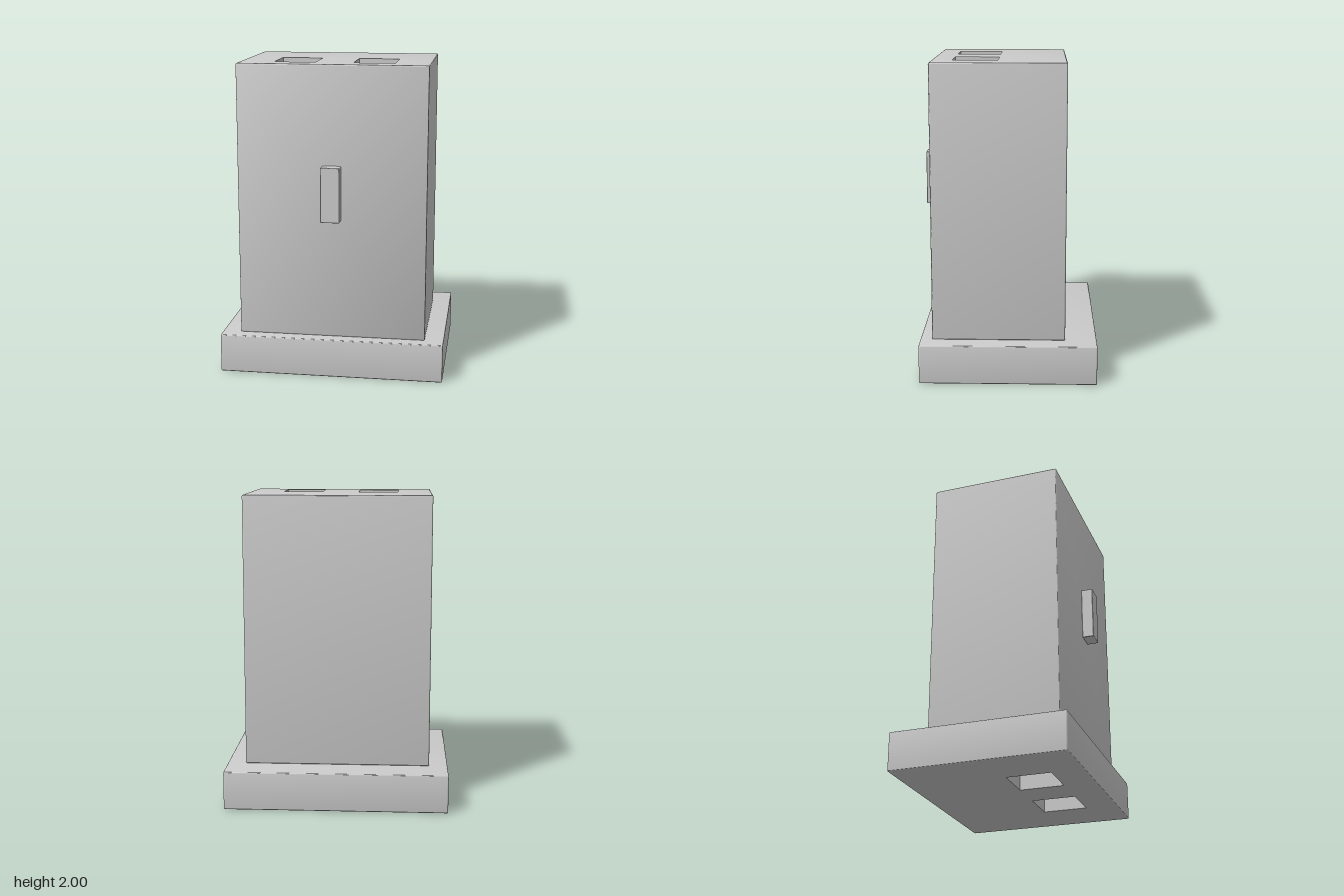
import * as THREE from 'three';
import { toCreasedNormals } from 'three/addons/utils/BufferGeometryUtils.js';
import { RoundedBoxGeometry } from 'three/addons/geometries/RoundedBoxGeometry.js';

const EDGE = 0.008; // small rounding on outer edges
const HOLE = { x0: 0.12, x1: 0.38, z0: 0.07, z1: 0.355 }; // mirrored in x
const material = new THREE.MeshStandardMaterial({ color: 0xcccccc });

// Rectangle with rounded corners in plan; shape y is -z
function planOutline(halfWidth, zBack, zFront) {
  const x = halfWidth - EDGE, top = -zBack - EDGE, bottom = -zFront + EDGE;
  const shape = new THREE.Shape();
  shape.absarc(x, top, EDGE, 0, Math.PI / 2);
  shape.absarc(-x, top, EDGE, Math.PI / 2, Math.PI);
  shape.absarc(-x, bottom, EDGE, Math.PI, Math.PI * 1.5);
  shape.absarc(x, bottom, EDGE, Math.PI * 1.5, Math.PI * 2);
  shape.closePath();
  return shape;
}

// Upright block with rounded outer edges and two sharp-edged square channels
function channelBlock(name, halfWidth, zBack, zFront, y0, y1) {
  const shape = planOutline(halfWidth, zBack, zFront);
  for (const side of [-1, 1]) {
    const a = side * HOLE.x0, b = side * HOLE.x1;
    shape.holes.push(new THREE.Path([
      [a, -HOLE.z0], [b, -HOLE.z0], [b, -HOLE.z1], [a, -HOLE.z1],
    ].map(([x, y]) => new THREE.Vector2(x, y))));
  }
  const geometry = new THREE.ExtrudeGeometry(shape, {
    depth: y1 - y0 - 2 * EDGE, curveSegments: 3, bevelSegments: 3,
    bevelSize: EDGE * 0.9, bevelOffset: -EDGE * 0.9, bevelThickness: EDGE,
  });
  geometry.rotateX(-Math.PI / 2).translate(0, y0 + EDGE, 0);

  // Pull the bevelled channel rims back to straight walls
  const p = geometry.attributes.position;
  for (let i = 0; i < p.count; i++) {
    const x = p.getX(i), z = p.getZ(i);
    if (Math.abs(x) > HOLE.x1 + 0.05 || z < HOLE.z0 - 0.05 || z > HOLE.z1 + 0.05) continue;
    p.setX(i, Math.sign(x) * THREE.MathUtils.clamp(Math.abs(x), HOLE.x0, HOLE.x1));
    p.setZ(i, THREE.MathUtils.clamp(z, HOLE.z0, HOLE.z1));
  }
  const mesh = new THREE.Mesh(toCreasedNormals(geometry, 0.7), material);
  mesh.name = name;
  return mesh;
}

export function createModel() {
  const group = new THREE.Group();
  group.name = 'connectorHousing';

  // Wide base flange and tall body, both pierced by the channels
  group.add(channelBlock('baseFlange', 0.72, -0.56, 0.56, 0, 0.25));
  group.add(channelBlock('body', 0.6, -0.36, 0.485, 0.25, 2));

  // Locking rib on the front face
  const rib = new THREE.Mesh(new RoundedBoxGeometry(0.12, 0.35, 0.075, 2, 0.005), material);
  rib.name = 'frontRib';
  rib.position.set(0, 1.195, 0.5225);
  group.add(rib);

  return group;
}
